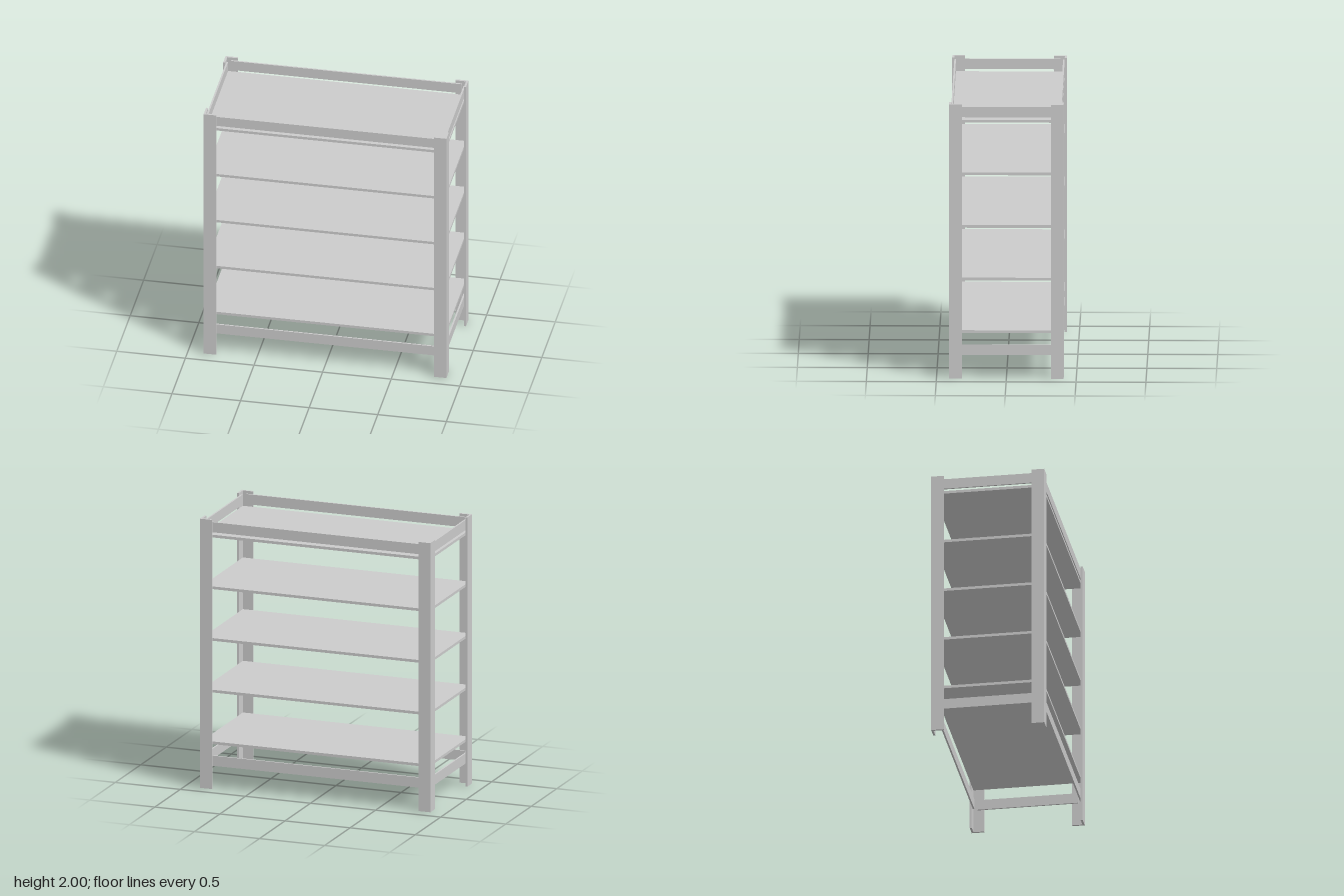
import * as THREE from 'three';

const X = 0.885, Z = 0.41, H = 2;      // half width, half depth, height
const FLANGE = 0.092, T = 0.015;       // angle post flange and sheet thickness
const RAIL_T = 0.012, RAIL_H = 0.075;

export function createModel() {
  const model = new THREE.Group();
  model.name = 'shelvingUnit';
  const material = new THREE.MeshStandardMaterial({ color: 0xcccccc });

  const add = (name, geometry, x, y, z) => {
    const mesh = new THREE.Mesh(geometry, material);
    mesh.name = name;
    mesh.position.set(x, y, z);
    model.add(mesh);
  };

  // L-section corner posts, mirrored into each corner
  const section = [[0, 0], [FLANGE, 0], [FLANGE, T], [T, T], [T, FLANGE], [0, FLANGE]];
  for (const sx of [-1, 1]) {
    for (const sz of [-1, 1]) {
      const shape = new THREE.Shape(
        section.map(([a, b]) => new THREE.Vector2(sx * (X - a), -sz * (Z - b))));
      const post = new THREE.ExtrudeGeometry(shape, { depth: H, bevelEnabled: false });
      post.rotateX(-Math.PI / 2);
      add(`${sz > 0 ? 'front' : 'back'}${sx > 0 ? 'Left' : 'Right'}Post`, post, 0, 0, 0);
    }
  }

  // Evenly spaced shelves
  const shelf = new THREE.BoxGeometry(2 * (X - T), 0.02, 2 * (Z - T));
  for (let i = 0; i < 5; i++) add(`shelf${i + 1}`, shelf, 0, 0.34 + i * 0.384, 0);

  // Rails inside the posts, forming a lower and an upper frame
  const longRail = new THREE.BoxGeometry(1.68, RAIL_H, RAIL_T);
  const sideRail = new THREE.BoxGeometry(RAIL_T, RAIL_H, 0.73);
  for (const [level, y] of [['lower', 0.207], ['upper', 1.942]]) {
    for (const s of [-1, 1]) {
      add(`${level}${s > 0 ? 'Front' : 'Back'}Rail`, longRail, 0, y, s * (Z - T - RAIL_T / 2));
      add(`${level}${s > 0 ? 'Left' : 'Right'}Rail`, sideRail, s * (X - T - RAIL_T / 2), y, 0);
    }
  }
  return model;
}
